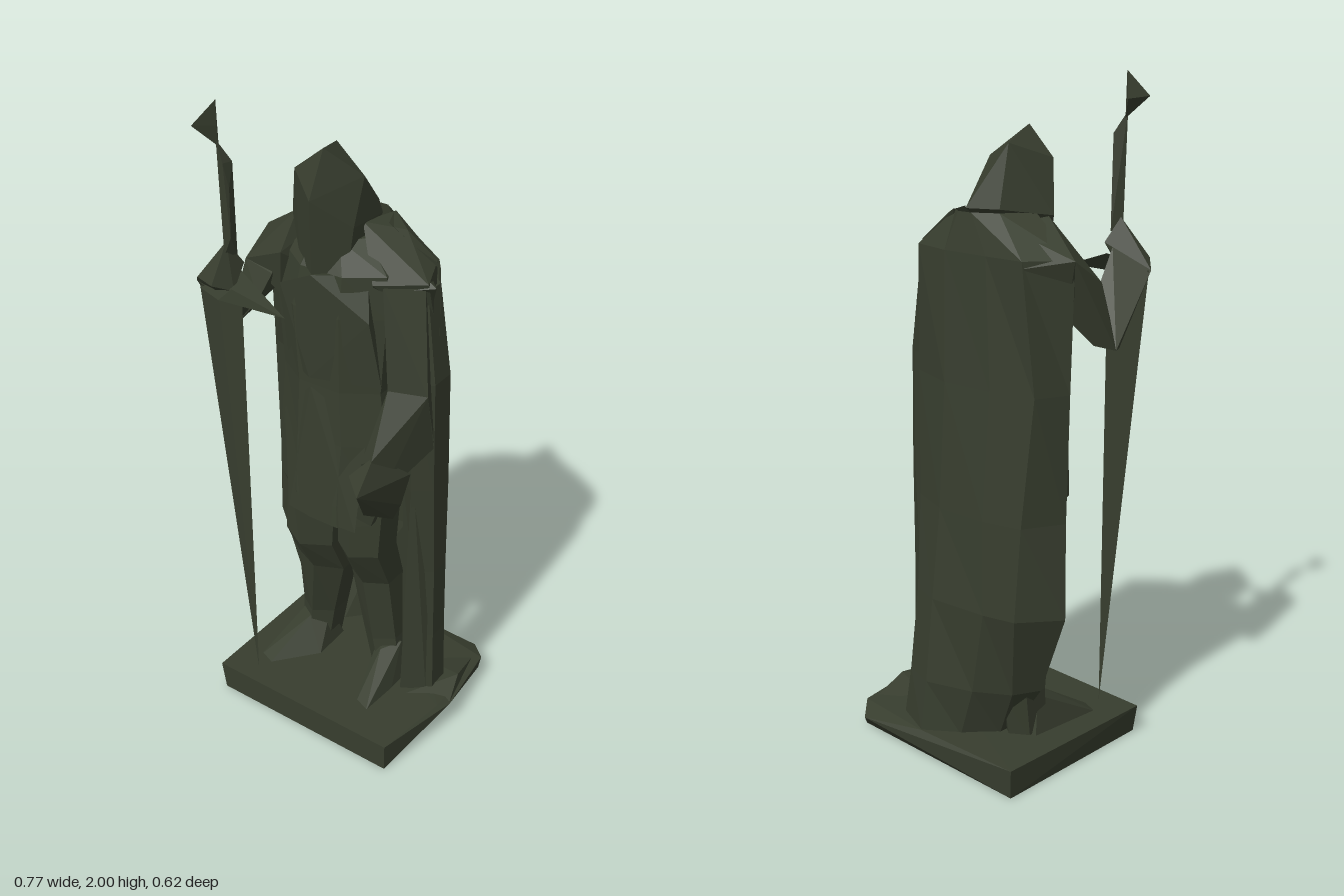
import * as THREE from 'three';
import { ConvexGeometry } from 'three/addons/geometries/ConvexGeometry.js';

const stone = new THREE.MeshStandardMaterial({ color: 0x373d2e, flatShading: true, side: THREE.DoubleSide });
stone.name = 'darkStone';

export function createModel() {
  const model = new THREE.Group();

  function add(name, geometry) {
    const mesh = new THREE.Mesh(geometry, stone);
    mesh.name = name;
    model.add(mesh);
  }

  // Faceted solid around a handful of corner points
  function hull(name, points) {
    add(name, new ConvexGeometry(points.map(p => new THREE.Vector3(...p))));
  }

  // Surface through rows of points; closed rows wrap around and get end caps
  function loft(name, rows, closed) {
    const n = rows[0].length, index = [], last = (rows.length - 1) * n;
    for (let r = 0; r < rows.length - 1; r++) {
      for (let i = 0; i < (closed ? n : n - 1); i++) {
        const a = r * n + i, b = r * n + (i + 1) % n;
        index.push(a, b, a + n, b, b + n, a + n);
      }
    }
    if (closed) {
      for (let i = 1; i < n - 1; i++) index.push(0, i + 1, i, last, last + i, last + i + 1);
    }
    const g = new THREE.BufferGeometry();
    g.setAttribute('position', new THREE.Float32BufferAttribute(rows.flat(2), 3));
    g.setIndex(index);
    const flat = g.toNonIndexed();
    flat.computeVertexNormals();
    add(name, flat);
  }

  // Ring of corners, from y, centre x and z, radius x and z; counted bottom to top
  const ring = sides => ([y, cx, cz, rx, rz]) => Array.from({ length: sides }, (_, i) => {
    const a = -(i + 0.5) / sides * Math.PI * 2;
    return [cx + rx * Math.cos(a), y, cz + rz * Math.sin(a)];
  });

  // Rough plinth with a chipped right edge
  hull('plinth', [
    [-0.30, 0, -0.27], [-0.30, 0, 0.28], [0.325, 0, 0.285], [0.33, 0, -0.27],
    [-0.305, 0.09, -0.275], [-0.315, 0.09, 0.28], [0.325, 0.09, 0.285], [0.06, 0.085, -0.285],
    [0.29, 0.05, -0.312], [0.35, 0.07, -0.25], [0.383, 0.08, 0], [0.36, 0.09, 0.04],
  ]);
  hull('plinthChip', [[0.2, 0.08, -0.13], [0.35, 0.11, -0.1], [0.38, 0.08, 0], [0.25, 0.09, 0.05], [0.33, 0.08, -0.22]]);

  // Legs and feet
  loft('rightLeg', [
    [0.08, -0.15, -0.05, 0.06, 0.07], [0.22, -0.14, -0.06, 0.07, 0.08], [0.45, -0.10, -0.02, 0.1, 0.08],
    [0.58, -0.10, 0.03, 0.1, 0.1], [0.82, -0.09, 0.02, 0.1, 0.11],
  ].map(ring(6)), true);
  loft('leftLeg', [
    [0.08, 0.13, -0.05, 0.06, 0.07], [0.22, 0.10, -0.06, 0.07, 0.08], [0.45, 0.075, -0.04, 0.08, 0.08],
    [0.6, 0.075, 0.02, 0.085, 0.1], [0.82, 0.08, 0.01, 0.09, 0.1],
  ].map(ring(6)), true);
  for (const [name, x, toe] of [['rightFoot', -0.15, -0.22], ['leftFoot', 0.13, 0.16]]) {
    hull(name, [
      [x - 0.07, 0.08, -0.08], [x + 0.07, 0.08, -0.08], [x - 0.04, 0.2, -0.04], [x + 0.04, 0.2, -0.04],
      [x, 0.19, 0.02], [toe - 0.02, 0.085, 0.17], [toe + 0.03, 0.085, 0.19], [x + 0.07, 0.085, 0.06],
    ]);
  }

  // Tunic and chest
  loft('tunic', [
    [0.73, 0.01, 0.05, 0.14, 0.12], [0.8, -0.015, 0.04, 0.19, 0.125], [1.0, -0.015, 0.02, 0.2, 0.125],
    [1.17, -0.02, 0.02, 0.18, 0.115], [1.4, -0.03, 0.0, 0.2, 0.135], [1.52, -0.02, -0.01, 0.18, 0.13],
    [1.6, -0.03, -0.03, 0.1, 0.1],
  ].map(ring(8)), true);
  hull('chest', [
    [-0.17, 1.44, 0.1], [0.13, 1.4, 0.1], [-0.04, 1.2, 0.145], [-0.03, 1.52, 0.145],
    [-0.16, 1.2, 0.08], [0.16, 1.2, 0.08], [0.1, 1.52, 0.06],
  ]);
  hull('tunicFold', [[-0.12, 0.73, 0.15], [0.12, 0.73, 0.15], [-0.03, 0.74, 0.17], [-0.04, 1.17, 0.14], [-0.18, 1.02, 0.08], [0.12, 1.05, 0.09]]);

  // Hood
  hull('hood', [
    [-0.03, 1.855, 0.08], [-0.095, 1.815, -0.07], [0.045, 1.77, 0.0], [-0.14, 1.77, 0.06],
    [-0.03, 1.73, 0.145], [0.045, 1.64, 0.05], [-0.18, 1.62, 0.02], [-0.03, 1.52, 0.14],
    [-0.01, 1.64, -0.15], [-0.1, 1.64, -0.11], [0.05, 1.64, -0.08], [-0.12, 1.52, 0.07], [0.04, 1.52, 0.07],
  ]);

  // Shoulders
  hull('rightShoulder', [
    [-0.18, 1.62, 0], [-0.33, 1.52, -0.06], [-0.33, 1.45, 0.05], [-0.18, 1.52, 0.08], [-0.12, 1.6, -0.12],
    [-0.23, 1.5, -0.16], [-0.3, 1.4, -0.05], [-0.2, 1.38, 0.06], [-0.1, 1.38, -0.1],
  ]);
  hull('leftShoulder', [
    [0.04, 1.64, 0], [0.13, 1.61, -0.08], [0.21, 1.53, -0.11], [0.24, 1.5, -0.02], [0.12, 1.5, 0.07],
    [0.06, 1.63, -0.13], [0.1, 1.36, -0.05], [0.24, 1.36, -0.06],
  ]);
  hull('shoulderPoint', [[0.258, 1.49, -0.03], [0.13, 1.56, -0.05], [0.16, 1.5, -0.13], [0.18, 1.48, 0.02], [0.22, 1.4, -0.07]]);

  // Left arm, hand resting at the hip
  hull('leftUpperArm', [
    [0.14, 1.5, 0.05], [0.23, 1.5, -0.02], [0.18, 1.48, -0.12], [0.28, 1.19, 0.03],
    [0.18, 1.2, 0.08], [0.2, 1.1, -0.1], [0.28, 1.02, -0.01], [0.2, 1.0, 0.04],
  ]);
  hull('leftForearm', [
    [0.28, 1.19, 0.03], [0.18, 1.2, 0.08], [0.28, 1.0, -0.01], [0.21, 0.92, 0],
    [0.19, 1.02, 0.17], [0.14, 0.98, 0.15], [0.2, 0.88, 0.14],
  ]);
  hull('leftHand', [
    [0.185, 0.93, 0.235], [0.19, 1.03, 0.16], [0.12, 0.95, 0.18], [0.25, 0.94, 0.06],
    [0.13, 0.78, 0.12], [0.18, 0.74, 0.04], [0.22, 0.82, 0.06],
  ]);

  // Right arm, raised to the staff
  hull('rightUpperArm', [
    [-0.33, 1.52, -0.06], [-0.33, 1.45, 0.05], [-0.22, 1.44, 0.07], [-0.24, 1.4, -0.06],
    [-0.385, 1.27, 0.05], [-0.33, 1.255, 0.12], [-0.33, 1.28, 0.02], [-0.25, 1.36, 0.1],
  ]);
  hull('rightForearm', [
    [-0.385, 1.27, 0.05], [-0.33, 1.255, 0.13], [-0.28, 1.34, 0.05], [-0.25, 1.36, 0.12],
    [-0.34, 1.46, 0.25], [-0.22, 1.47, 0.2], [-0.24, 1.52, 0.2], [-0.3, 1.42, 0.23],
  ]);
  hull('rightHand', [
    [-0.34, 1.46, 0.25], [-0.31, 1.49, 0.28], [-0.235, 1.495, 0.31], [-0.2, 1.47, 0.26],
    [-0.235, 1.6, 0.24], [-0.21, 1.53, 0.2], [-0.28, 1.43, 0.23],
  ]);
  hull('handPoint', [[-0.33, 1.44, 0.25], [-0.03, 1.44, 0.26], [-0.22, 1.5, 0.2], [-0.2, 1.48, 0.27], [-0.24, 1.44, 0.28]]);

  // Staff: flat tapering shaft, thin upper shaft and spearhead
  hull('staffShaft', [
    [-0.34, 1.46, 0.24], [-0.19, 1.46, 0.24], [-0.27, 1.46, 0.246], [-0.27, 1.46, 0.234], [-0.205, 0.09, 0.225],
  ]);
  hull('staffNeck', [
    [-0.235, 1.56, 0.25], [-0.215, 1.56, 0.22], [-0.21, 1.62, 0.25], [-0.233, 1.89, 0.262],
    [-0.205, 1.83, 0.235], [-0.215, 1.83, 0.262], [-0.207, 1.76, 0.25],
  ]);
  hull('spearhead', [
    [-0.22, 2.0, 0.27], [-0.275, 1.93, 0.305], [-0.268, 1.925, 0.218], [-0.23, 1.87, 0.255], [-0.225, 1.93, 0.265],
  ]);

  // Cloak: rows run from the right edge around the back to the left edge
  const cloak = [
    [1.63, [-0.15, -0.02], [-0.1, -0.11], [-0.03, -0.15], [0.02, -0.15], [0.06, -0.12], [0.09, -0.05]],
    [1.52, [-0.32, -0.05], [-0.23, -0.16], [-0.1, -0.165], [0.06, -0.165], [0.2, -0.135], [0.24, -0.08]],
    [1.15, [-0.31, -0.05], [-0.27, -0.15], [-0.13, -0.18], [0.04, -0.19], [0.2, -0.14], [0.265, -0.05]],
    [0.78, [-0.31, -0.06], [-0.25, -0.18], [-0.13, -0.21], [0.04, -0.215], [0.17, -0.17], [0.21, -0.08]],
    [0.5, [-0.33, -0.08], [-0.24, -0.195], [-0.14, -0.22], [0.05, -0.24], [0.145, -0.21], [0.15, -0.14]],
    [0.24, [-0.23, -0.07], [-0.19, -0.15], [-0.09, -0.215], [0.055, -0.265], [0.16, -0.23], [0.18, -0.14]],
    [0.08, [-0.12, -0.07], [-0.12, -0.13], [-0.04, -0.215], [0.06, -0.283], [0.19, -0.23], [0.2, -0.12]],
  ];
  loft('cloak', cloak.map(([y, ...p]) => p.map(([x, z]) => [x, y, z])), false);

  // Front edge of the cloak on the right, turned in behind the body
  loft('cloakFront', [
    [[-0.32, 1.5, -0.05], [-0.17, 1.45, 0.06]], [[-0.31, 1.15, -0.05], [-0.18, 1.15, 0.0]],
    [[-0.31, 0.78, -0.06], [-0.18, 0.78, 0]], [[-0.33, 0.5, -0.08], [-0.15, 0.5, -0.02]],
    [[-0.23, 0.24, -0.07], [-0.14, 0.24, -0.06]],
  ], false);

  // Hanging drape on the left, open to the cloak only around the knee
  loft('leftDrape', [
    [0.08, 0.25, -0.05, 0.065, 0.07], [0.3, 0.24, -0.055, 0.065, 0.065], [0.55, 0.235, -0.055, 0.065, 0.065],
    [0.85, 0.23, -0.055, 0.062, 0.08], [1.2, 0.22, -0.06, 0.06, 0.08], [1.47, 0.185, -0.07, 0.05, 0.065],
  ].map(ring(6)), true);
  hull('drapeFold', [[0.19, 0.08, -0.03], [0.22, 0.08, 0.04], [0.29, 0.1, 0], [0.23, 0.95, 0.02], [0.2, 0.9, -0.04], [0.26, 0.9, -0.04]]);

  return model;
}
